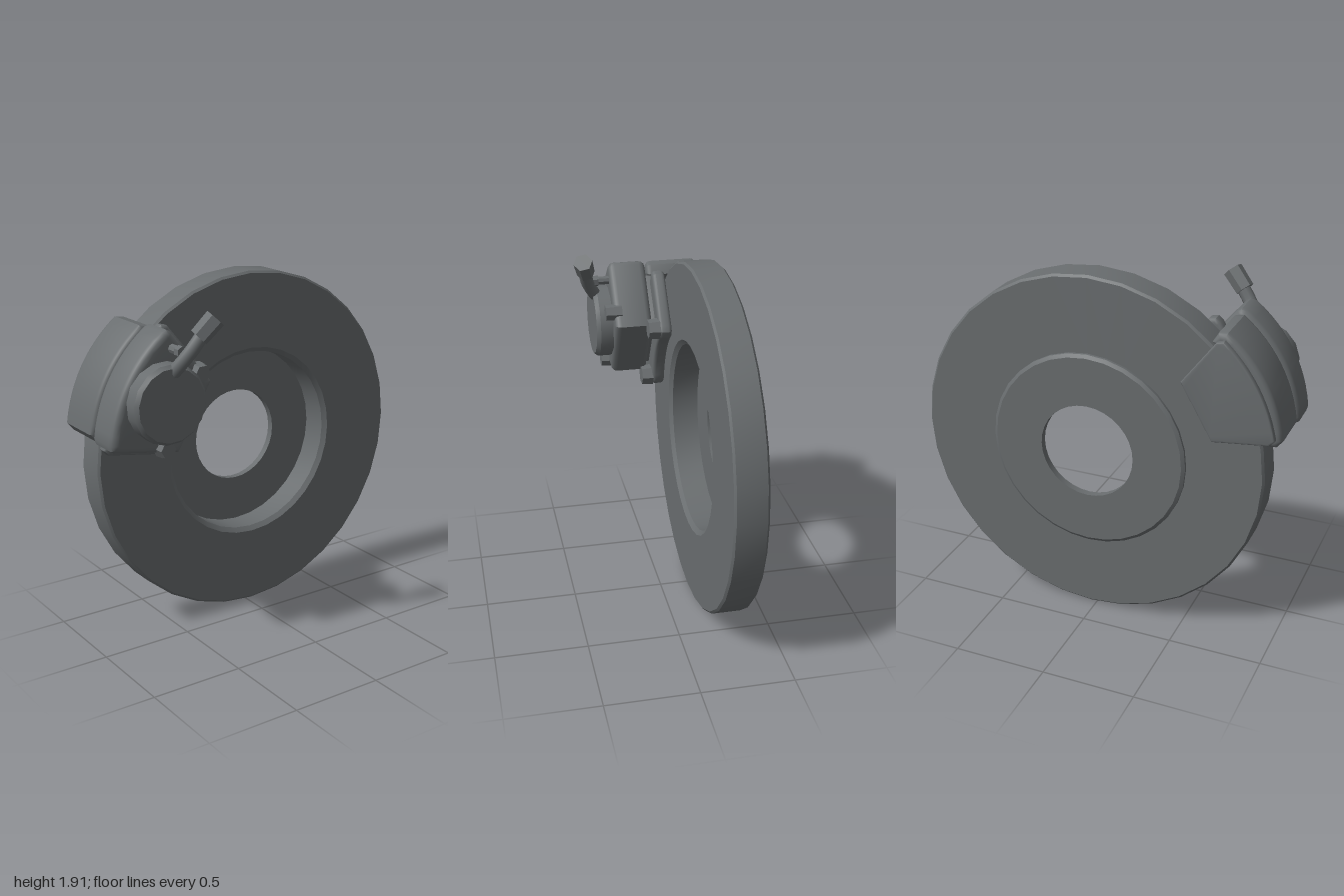
import * as THREE from 'three';
import { toCreasedNormals } from 'three/addons/utils/BufferGeometryUtils.js';

const steel = new THREE.MeshStandardMaterial({ color: 0x696d6f });
steel.name = 'dark steel';

function part(parent, name, geometry, crease = 0.5) {
  const mesh = new THREE.Mesh(toCreasedNormals(geometry, crease), steel);
  mesh.name = name;
  parent.add(mesh);
  return mesh;
}

// Turned solid about the z axis; profile points are [radius, z]
function turned(profile, sides) {
  const pts = profile.map(([r, z]) => new THREE.Vector2(r, z));
  return new THREE.LatheGeometry(pts, sides).rotateX(Math.PI / 2);
}

// Rounded slab between two z values; bevel stays inside the outline
function slab(shape, z0, z1, bevel) {
  return new THREE.ExtrudeGeometry(shape, {
    depth: z1 - z0 - 2 * bevel, bevelThickness: bevel, bevelSize: bevel,
    bevelOffset: -bevel, bevelSegments: 3, curveSegments: 12,
  }).translate(0, 0, z0 + bevel);
}

// Mirrored caliper outline: x is radial, y tangential.
// innerBulge / outerBulge are control radii for the curved ends.
function outline(half, innerBulge, outerBulge) {
  const s = new THREE.Shape();
  const last = half[half.length - 1];
  s.moveTo(half[0][0], -half[0][1]);
  half.slice(1).forEach(([x, y]) => s.lineTo(x, -y));
  s.quadraticCurveTo(outerBulge, 0, last[0], last[1]);
  half.slice(0, -1).reverse().forEach(([x, y]) => s.lineTo(x, y));
  s.quadraticCurveTo(innerBulge, 0, half[0][0], -half[0][1]);
  return s;
}

// Rod with its axis along z
function rod(radius, z0, z1, sides, tipRadius = radius) {
  return new THREE.CylinderGeometry(tipRadius, radius, z1 - z0, sides)
    .rotateX(Math.PI / 2).translate(0, 0, (z0 + z1) / 2);
}

export function createModel() {
  const model = new THREE.Group();
  model.name = 'discBrake';

  // Brake disc with recessed hub
  const disc = part(model, 'brakeDisc', turned([
    [0.26, -0.357], [0.525, -0.357], [0.543, -0.345], [0.543, -0.33],
    [0.943, -0.33], [0.955, -0.318], [0.955, -0.163], [0.943, -0.152],
    [0.535, -0.152], [0.51, -0.172], [0.51, -0.318], [0.26, -0.318], [0.26, -0.357],
  ], 32), 0.4);
  disc.position.set(0.035, 0.965, 0);

  // Caliper frame: local x points outward along the disc radius
  const caliper = new THREE.Group();
  caliper.name = 'caliper';
  caliper.position.set(0.035, 0.965, 0);
  caliper.rotation.z = Math.PI * 5 / 6;
  model.add(caliper);

  part(caliper, 'housing', slab(outline(
    [[0.635, 0.2], [0.975, 0.328], [1.0, 0.326], [1.02, 0.305]], 0.635, 1.145), -0.045, 0.165, 0.035), 0.7);
  part(caliper, 'bridge', slab(outline(
    [[0.925, 0.29], [0.975, 0.318], [1.02, 0.3]], 1.01, 1.14), -0.345, -0.05, 0.03), 0.7);
  part(caliper, 'rearPlate', slab(outline(
    [[0.69, 0.17], [0.96, 0.285], [1.0, 0.275]], 0.69, 1.09), -0.373, -0.335, 0.01), 0.7);
  part(caliper, 'brakePad', slab(outline(
    [[0.68, 0.19], [0.93, 0.28]], 0.68, 0.93), -0.151, -0.03, 0.008), 0.7);
  part(caliper, 'bracket', slab(outline(
    [[0.545, 0.2], [0.55, 0.235], [0.58, 0.255], [0.865, 0.362], [0.9, 0.35], [0.91, 0.32]],
    0.62, 0.91), -0.135, -0.063, 0.02), 0.7);

  // Piston cover on the front of the housing
  part(caliper, 'pistonCover', turned(
    [[0, 0.1], [0.205, 0.1], [0.205, 0.235], [0.188, 0.257], [0, 0.257]], 16), 0.5)
    .position.set(0.859, 0, 0);

  // Bolts in mirrored pairs
  for (const side of [-1, 1]) {
    part(caliper, 'bracketBolt', rod(0.06, -0.07, -0.007, 6, 0.054))
      .position.set(0.6, side * 0.212, 0);
    part(caliper, 'housingBolt', rod(0.048, 0.12, 0.21, 6, 0.043))
      .position.set(0.74, side * 0.208, 0);
  }

  // Bleed screw
  part(model, 'bleedScrew', rod(0.024, 0.14, 0.25, 8)).position.set(-0.65, 1.655, 0);
  part(model, 'bleedScrewHead', rod(0.03, 0.225, 0.262, 6)).position.set(-0.65, 1.655, 0);

  // Bent hose pipe and its hex fitting
  const path = new THREE.CatmullRomCurve3([
    [-0.69, 1.54, 0.22], [-0.665, 1.59, 0.255], [-0.62, 1.66, 0.29], [-0.56, 1.745, 0.31],
  ].map(p => new THREE.Vector3(...p)));
  part(model, 'hosePipe', new THREE.TubeGeometry(path, 12, 0.036, 10), 0.8);

  const start = new THREE.Vector3(-0.582, 1.727, 0.302);
  const end = new THREE.Vector3(-0.502, 1.816, 0.328);
  const axis = end.clone().sub(start);
  const fitting = part(model, 'hoseFitting', new THREE.CylinderGeometry(0.053, 0.05, axis.length(), 6));
  fitting.position.copy(start).add(end).multiplyScalar(0.5);
  fitting.quaternion.setFromUnitVectors(new THREE.Vector3(0, 1, 0), axis.normalize());

  return model;
}
